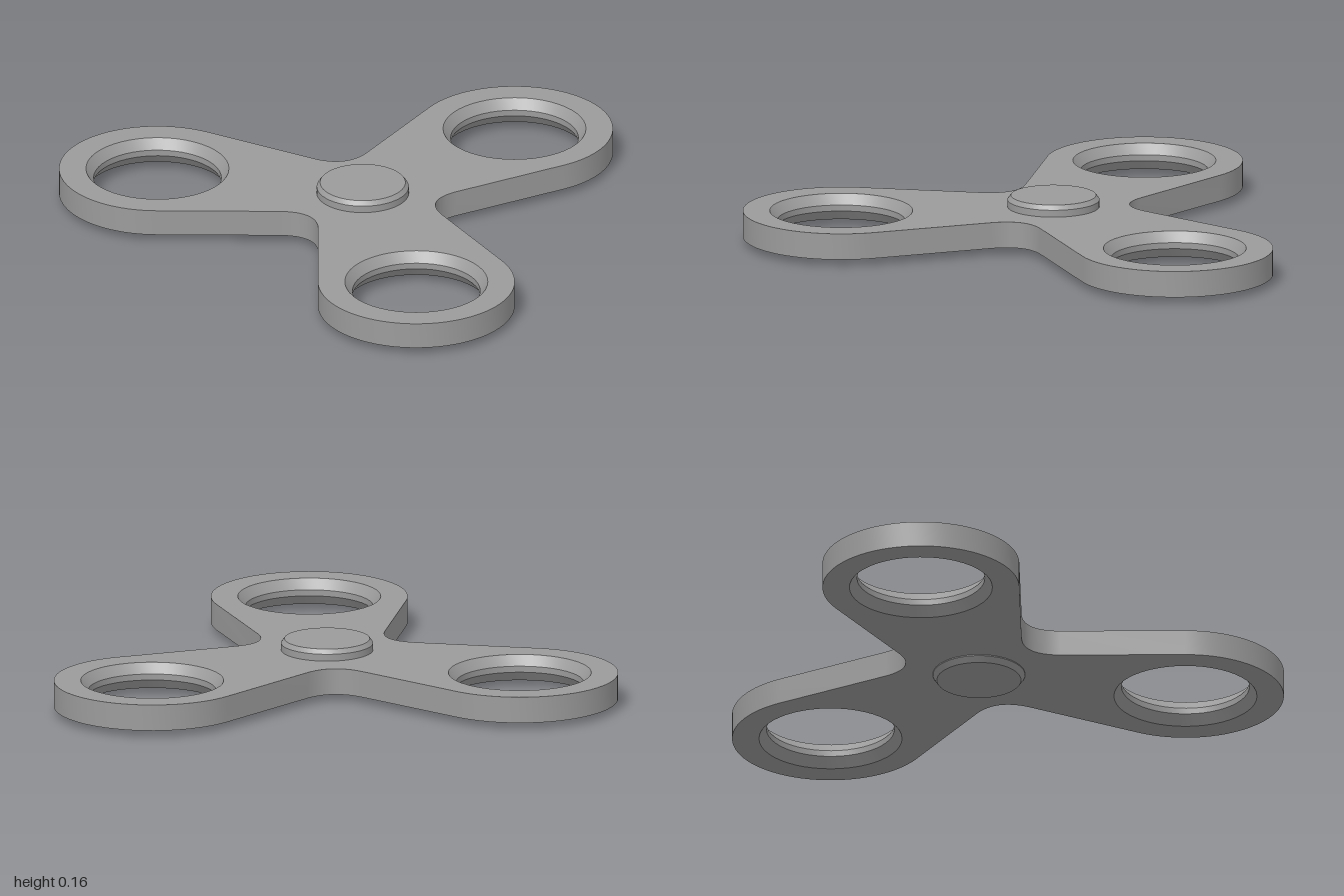
import * as THREE from 'three';
import { toCreasedNormals } from 'three/addons/utils/BufferGeometryUtils.js';

const HUB_X = 0.188;            // hub centre
const ARM = 0.753;              // hub centre to ring centre
const RING_R = 0.348, HOLE_R = 0.253, LIP_R = 0.226;
const Y0 = 0.024, Y1 = 0.118;   // underside and top of the body
const ANGLES = [Math.PI / 3, Math.PI, Math.PI * 5 / 3];

const material = new THREE.MeshStandardMaterial({ color: 0x9b9b9b });

function addMesh(parent, name, geometry, x, y, z) {
  const mesh = new THREE.Mesh(toCreasedNormals(geometry, 0.4), material);
  mesh.name = name;
  mesh.position.set(x, y, z);
  parent.add(mesh);
}

// Point given along (u) and across (v) an arm
const armPoint = (a, u, v) => new THREE.Vector2(u, v).rotateAround(new THREE.Vector2(), a);

// Three tapering arms joined by curved crotches, each ending in a ring
function bodyShape() {
  const shape = new THREE.Shape();
  const tangent = THREE.MathUtils.degToRad(104.4);
  const start = armPoint(ANGLES[0], 0.24, -0.225);
  shape.moveTo(start.x, start.y);
  ANGLES.forEach((a, i) => {
    const c = armPoint(a, ARM, 0);
    shape.absarc(c.x, c.y, RING_R, a - tangent, a + tangent, false);
    const neck = armPoint(a, 0.24, 0.225);
    shape.lineTo(neck.x, neck.y);
    const crotch = armPoint(a + Math.PI / 3, 0.226, 0);
    const next = armPoint(ANGLES[(i + 1) % 3], 0.24, -0.225);
    shape.quadraticCurveTo(crotch.x, crotch.y, next.x, next.y);
    const hole = new THREE.Path();
    hole.absarc(c.x, c.y, HOLE_R, 0, Math.PI * 2, true);
    shape.holes.push(hole);
  });
  return shape;
}

export function createModel() {
  const group = new THREE.Group();
  group.name = 'spinner';

  // Flat body
  const body = new THREE.ExtrudeGeometry(bodyShape(), { depth: Y1 - Y0, bevelEnabled: false, curveSegments: 24 });
  body.rotateX(-Math.PI / 2);
  addMesh(group, 'body', body, HUB_X, Y0, 0);

  // Lining of each hole: a narrow band between two chamfers
  const lip = [[HOLE_R, Y1], [LIP_R, 0.082], [LIP_R, 0.06], [HOLE_R, Y0]].map(p => new THREE.Vector2(...p));
  for (const a of ANGLES) {
    const c = armPoint(a, ARM, 0);
    addMesh(group, 'holeLip', new THREE.LatheGeometry(lip, 48), HUB_X + c.x, 0, -c.y);
  }

  // Chamfered finger pads above and below the hub
  const top = [[0.163, Y1], [0.163, 0.143], [0.151, 0.159], [0, 0.159]];
  const bottom = [[0, 0], [0.149, 0], [0.163, 0.02], [0.163, Y0]];
  for (const [name, profile] of [['topPad', top], ['bottomPad', bottom]]) {
    const points = profile.map(p => new THREE.Vector2(...p));
    addMesh(group, name, new THREE.LatheGeometry(points, 48), HUB_X, 0, 0);
  }
  return group;
}
